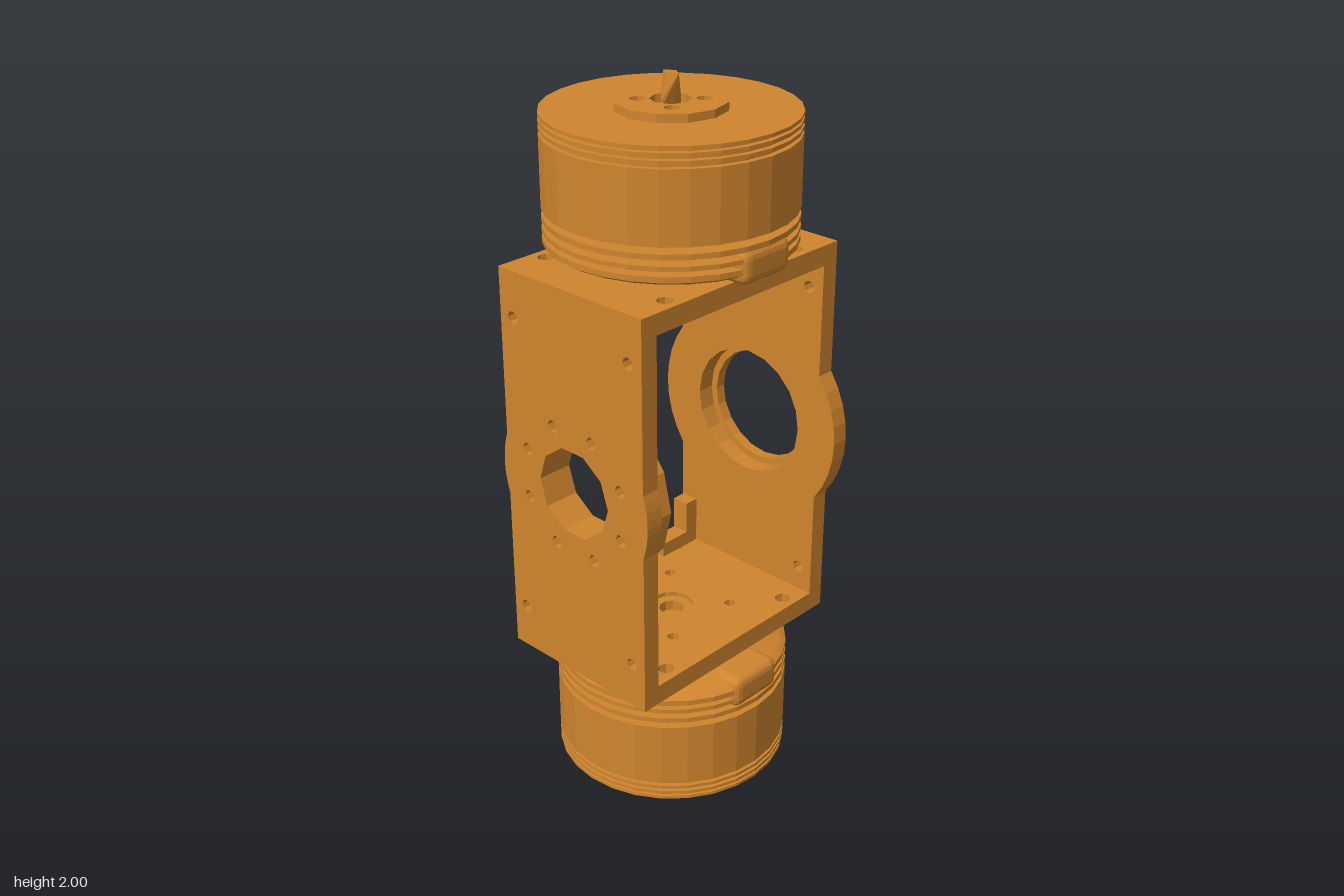
import * as THREE from 'three';
import { ConvexGeometry } from 'three/addons/geometries/ConvexGeometry.js';
import { RoundedBoxGeometry } from 'three/addons/geometries/RoundedBoxGeometry.js';

const CX = -0.015; // axis of both motors
const MID = 1; // height of the side bearings
const orange = new THREE.MeshStandardMaterial({ color: 0xd0852e, flatShading: true });
orange.name = 'orange';

function add(parent, name, geometry, x = 0, y = 0, z = 0) {
  const mesh = new THREE.Mesh(geometry, orange);
  mesh.name = name;
  mesh.position.set(x, y, z);
  parent.add(mesh);
  return mesh;
}

// Points of a regular polygon, or of an arc when the angles are given
function arc(r, n, cx = 0, cy = 0, from = 0, to = Math.PI * 2) {
  const full = to - from > 6.28;
  return Array.from({ length: full ? n : n + 1 }, (_, i) => {
    const a = from + ((to - from) * i) / n;
    return new THREE.Vector2(cx + r * Math.cos(a), cy + r * Math.sin(a));
  });
}

// Small holes evenly spread on a bolt circle
function boltHoles(count, radius, r, start = 0) {
  return Array.from({ length: count }, (_, i) => {
    const a = start + (i * 2 * Math.PI) / count;
    return arc(r, 6, radius * Math.cos(a), radius * Math.sin(a));
  });
}

function cornerHoles(dx, dy, r) {
  return [[1, 1], [1, -1], [-1, 1], [-1, -1]].map(([sx, sy]) => arc(r, 8, sx * dx, sy * dy));
}

function slab(outline, holes, depth) {
  const shape = new THREE.Shape(outline);
  for (const h of holes) shape.holes.push(new THREE.Path(h));
  return new THREE.ExtrudeGeometry(shape, { depth, bevelEnabled: false });
}

// Slab standing upright, thickness running along +x
const sideSlab = (outline, holes, depth) => slab(outline, holes, depth).rotateY(Math.PI / 2);
// Slab lying flat, thickness running along +y
const flatSlab = (outline, holes, depth) => slab(outline, holes, depth).rotateX(-Math.PI / 2);

// Rectangle whose long edges swell into a circle of radius r
function bulgedOutline(halfW, halfH, r) {
  const a = Math.acos(halfW / r);
  return [
    new THREE.Vector2(halfW, -halfH),
    ...arc(r, 8, 0, 0, -a, a),
    new THREE.Vector2(halfW, halfH),
    new THREE.Vector2(-halfW, halfH),
    ...arc(r, 8, 0, 0, Math.PI - a, Math.PI + a),
    new THREE.Vector2(-halfW, -halfH),
  ];
}

function lathe(points, n) {
  return new THREE.LatheGeometry(points.map(([x, y]) => new THREE.Vector2(x, y)), n);
}

// Motor built upward from its mounting face at y = 0
function createMotor(name) {
  const motor = new THREE.Group();
  motor.name = name;

  // Flared base with cooling fins and the neck below the rotor
  add(motor, 'stator', lathe([
    [0, 0], [0.2, 0], [0.305, 0.036], [0.32, 0.045], [0.32, 0.06], [0.21, 0.06],
    [0.21, 0.073], [0.32, 0.073], [0.32, 0.085], [0.21, 0.085],
    [0.21, 0.101], [0.32, 0.101], [0.32, 0.115], [0.11, 0.115], [0.11, 0.135], [0, 0.135],
  ], 28));

  // Drum with thin grooves near its outer end
  add(motor, 'rotor', lathe([
    [0, 0.132], [0.32, 0.132], [0.32, 0.317], [0.305, 0.317], [0.305, 0.327],
    [0.32, 0.327], [0.32, 0.336], [0.305, 0.336], [0.305, 0.345],
    [0.32, 0.345], [0.32, 0.354], [0.305, 0.354], [0.305, 0.361],
    [0.32, 0.361], [0.32, 0.37], [0, 0.37],
  ], 28));

  add(motor, 'hubPlate', flatSlab(arc(0.142, 12),
    [arc(0.053, 8), ...cornerHoles(0.057, 0.057, 0.02)], 0.021), 0, 0.37, 0);

  // Faceted shaft: wide along x at its base, along z at its end
  const shaft = [[0.035, 0.37, 0], [-0.035, 0.37, 0], [0.035, 0.39, 0], [-0.035, 0.39, 0],
    [0.018, 0.455, 0], [-0.018, 0.455, 0], [0, 0.455, 0.026], [0, 0.455, -0.026],
    [0, 0.37, 0.008], [0, 0.37, -0.008]];
  add(motor, 'shaft', new ConvexGeometry(shaft.map((p) => new THREE.Vector3(...p))));

  add(motor, 'cableSocket', new RoundedBoxGeometry(0.17, 0.09, 0.15, 2, 0.025), 0, 0.06, 0.245);
  return motor;
}

export function createModel() {
  const model = new THREE.Group();
  model.name = 'jointModule';
  const frame = new THREE.Group();
  frame.name = 'frame';
  model.add(frame);

  const wallHoles = cornerHoles(0.2, 0.42, 0.018);

  // Wide bearing wall with its outer flange
  add(frame, 'bearingWall', sideSlab(bulgedOutline(0.245, 0.545, 0.305),
    [arc(0.18, 20), ...wallHoles], 0.05), 0.29, MID, 0);
  add(frame, 'bearingFlange', sideSlab(arc(0.27, 24),
    [arc(0.16, 20), ...boltHoles(6, 0.235, 0.015, Math.PI / 2)], 0.03), 0.34, MID, 0);

  // Opposite wall with its inner ring
  const ringHoles = [arc(0.123, 10), ...boltHoles(8, 0.18, 0.018, Math.PI / 8)];
  add(frame, 'driveWall', sideSlab(bulgedOutline(0.245, 0.545, 0.26),
    [...ringHoles, ...wallHoles], 0.05), -0.37, MID, 0);
  add(frame, 'driveRing', sideSlab(arc(0.243, 14, 0, 0), ringHoles, 0.05), -0.32, MID, 0);

  // Top and bottom plates
  const plateOutline = [[-0.305, -0.245], [0.305, -0.245], [0.305, 0.245], [-0.305, 0.245]]
    .map((p) => new THREE.Vector2(...p));
  const plateHoles = [arc(0.06, 12), ...cornerHoles(0.115, 0.115, 0.016),
    ...cornerHoles(0.235, 0.205, 0.022)];
  for (const [name, y] of [['topPlate', 1.49], ['bottomPlate', 0.455]]) {
    add(frame, name, flatSlab(plateOutline, plateHoles, 0.055), CX, y, 0);
    add(frame, name + 'Collar', flatSlab(arc(0.06, 12), [arc(0.035, 10)], 0.03), CX, y + 0.0125, 0);
  }

  // L-shaped brackets in three rear corners: inner corner and inward directions
  const brackets = [[-0.32, 1.49, 1, -1], [0.29, 1.49, -1, -1], [0.29, 0.51, -1, 1]];
  for (const [x, y, sx, sy] of brackets) {
    add(frame, 'bracketArm', new THREE.BoxGeometry(0.14, 0.042, 0.05),
      x + sx * 0.07, y + sy * 0.021, -0.215);
    add(frame, 'bracketLeg', new THREE.BoxGeometry(0.042, 0.095, 0.05),
      x + sx * 0.021, y + sy * 0.0895, -0.215);
  }

  // Motors on both ends, sockets to the front
  const top = createMotor('topMotor');
  top.position.set(CX, 1.545, 0);
  const bottom = createMotor('bottomMotor');
  bottom.position.set(CX, 0.455, 0);
  bottom.rotation.z = Math.PI;
  model.add(top, bottom);
  return model;
}
